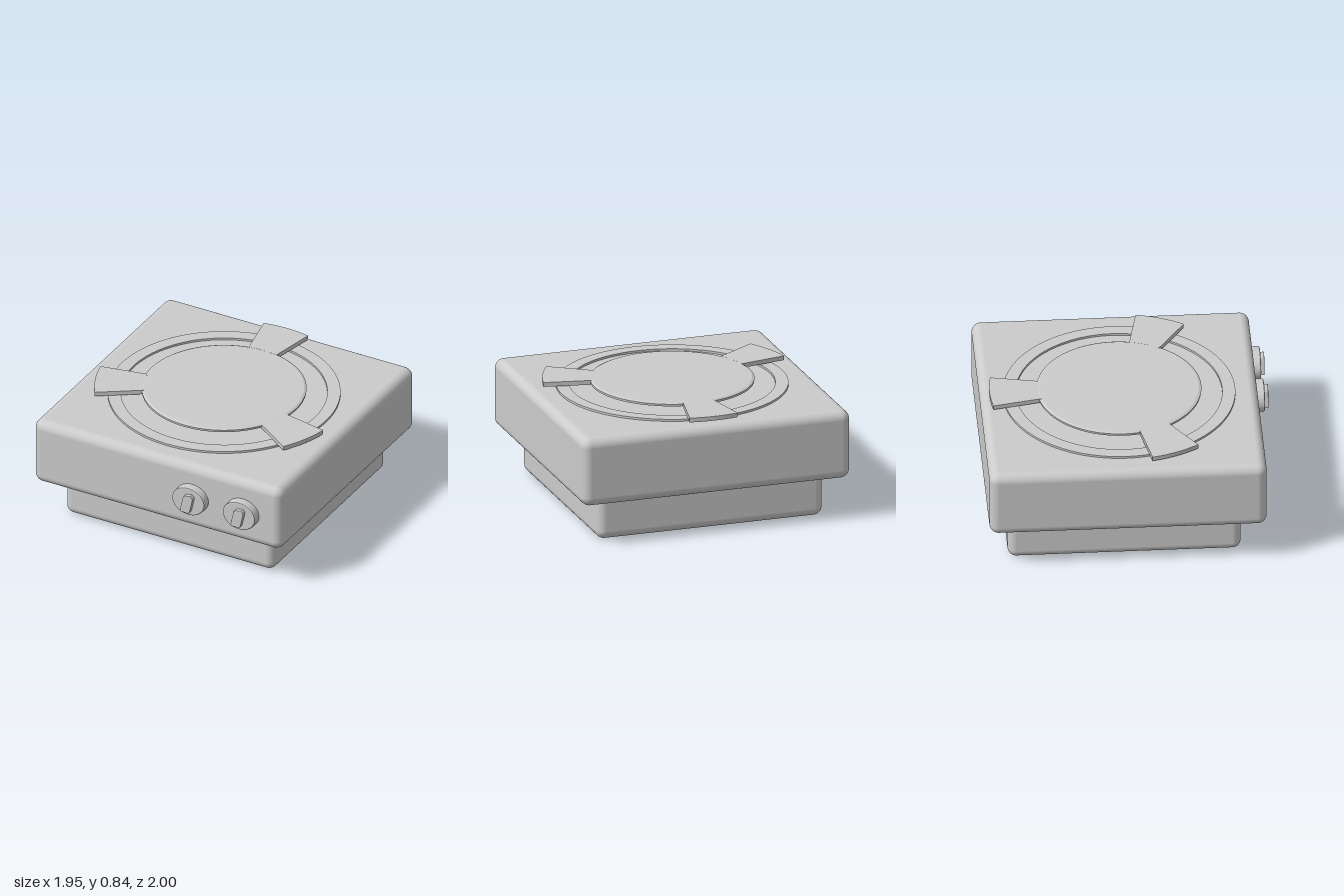
import * as THREE from 'three';
import { RoundedBoxGeometry } from 'three/addons/geometries/RoundedBoxGeometry.js';

const BURNER_Z = -0.046;

export function createModel() {
  const group = new THREE.Group();
  const material = new THREE.MeshStandardMaterial({ color: 0xcccccc });

  const add = (name, geometry, x, y, z, parent = group) => {
    const mesh = new THREE.Mesh(geometry, material);
    mesh.name = name;
    mesh.position.set(x, y, z);
    parent.add(mesh);
    return mesh;
  };

  // Flat outline laid on the horizontal plane and thickened upwards
  const slab = (shape, depth) =>
    new THREE.ExtrudeGeometry(shape, { depth, bevelEnabled: false, curveSegments: 64 }).rotateX(-Math.PI / 2);

  // Housing and the narrower foot under it
  add('housing', new RoundedBoxGeometry(1.95, 0.49, 1.91, 6, 0.065), 0, 0.54, -0.045);
  add('base', new RoundedBoxGeometry(1.64, 0.46, 1.605, 6, 0.06), 0, 0.23, -0.0625);

  // Thin ring around the burner
  const ring = new THREE.Shape().absarc(0, 0, 0.8, 0, Math.PI * 2);
  ring.holes.push(new THREE.Path().absarc(0, 0, 0.71, 0, Math.PI * 2, true));
  add('burnerRing', slab(ring, 0.025), 0, 0.775, BURNER_Z);

  // Burner plate with a slightly eased rim
  const profile = [[0, 0], [0.565, 0], [0.565, 0], [0.567, 0.016], [0.567, 0.016], [0.55, 0.024], [0.55, 0.024], [0, 0.025]]
    .map(([r, y]) => new THREE.Vector2(r, y));
  add('burnerPlate', new THREE.LatheGeometry(profile, 96), 0, 0.814, BURNER_Z);

  // Three wedge-shaped pan supports
  const half = THREE.MathUtils.degToRad(11.3);
  [['backSupport', 90], ['leftSupport', -22.5], ['rightSupport', 202.5]].forEach(([name, degrees]) => {
    const a = THREE.MathUtils.degToRad(degrees);
    const wedge = new THREE.Shape();
    wedge.absarc(0, 0, 0.892, a - half, a + half, false);
    wedge.absarc(0, 0, 0.553, a + half, a - half, true);
    wedge.closePath();
    add(name, slab(wedge, 0.031), 0, 0.806, BURNER_Z);
  });

  // Oval knobs with a slanted grip
  const oval = new THREE.Shape().absellipse(0, 0, 0.117, 0.097, 0, Math.PI * 2);
  const ovalGeometry = new THREE.ExtrudeGeometry(oval, {
    depth: 0.07, bevelSize: 0.01, bevelThickness: 0.01, bevelSegments: 2, curveSegments: 24,
  });
  const grip = new THREE.Shape();
  grip.moveTo(-0.05, -0.065);
  grip.quadraticCurveTo(-0.05, -0.075, -0.04, -0.076);
  grip.lineTo(0.012, -0.077);
  grip.quadraticCurveTo(0.024, -0.075, 0.028, -0.06);
  grip.lineTo(0.05, 0.035);
  grip.quadraticCurveTo(0.051, 0.055, 0.034, 0.066);
  grip.lineTo(-0.01, 0.058);
  grip.quadraticCurveTo(-0.024, 0.05, -0.028, 0.035);
  grip.closePath();
  const gripGeometry = new THREE.ExtrudeGeometry(grip, {
    depth: 0.04, bevelSize: 0.004, bevelOffset: -0.004, bevelThickness: 0.004, bevelSegments: 2, curveSegments: 6,
  });
  [['innerKnob', 0.282], ['outerKnob', 0.68]].forEach(([name, x]) => {
    const knob = new THREE.Group();
    knob.name = name;
    knob.position.set(x, 0.534, 0);
    add('knobDial', ovalGeometry, 0, 0, 0.892, knob);
    add('knobGrip', gripGeometry, 0, 0, 0.956, knob);
    group.add(knob);
  });

  return group;
}
